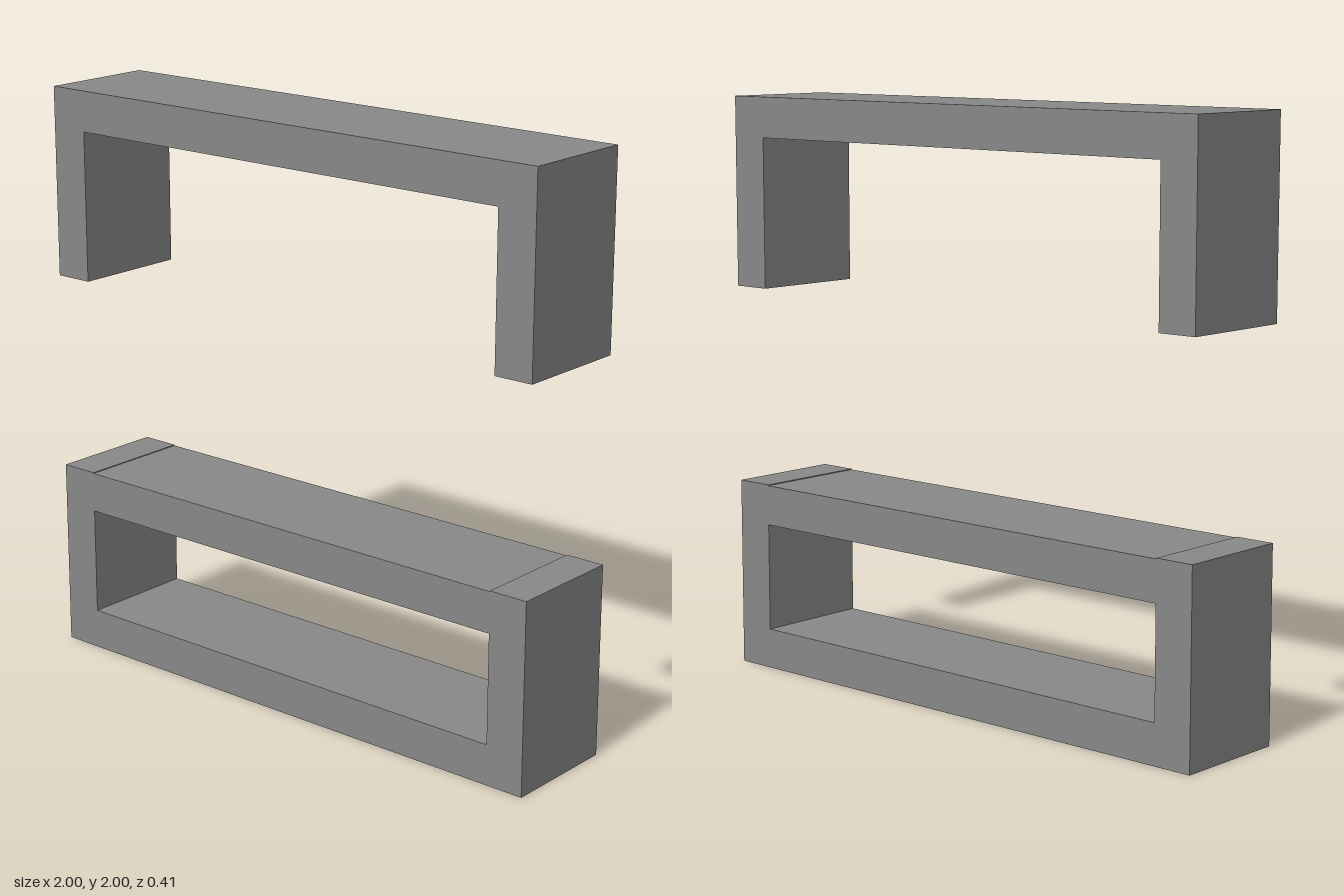
import * as THREE from 'three';

const DEPTH = 0.41; // shared z thickness
const WALL = 0.138; // width of posts and beams

export function createModel() {
  const model = new THREE.Group();
  const material = new THREE.MeshStandardMaterial({ color: 0x888888, flatShading: true });

  // Box spanning x0..x1 and y0..y1, centred in depth
  function bar(parent, name, x0, x1, y0, y1) {
    const mesh = new THREE.Mesh(new THREE.BoxGeometry(x1 - x0, y1 - y0, DEPTH), material);
    mesh.name = name;
    mesh.position.set((x0 + x1) / 2, (y0 + y1) / 2, 0);
    parent.add(mesh);
  }

  // Pair of posts at the two ends
  function posts(parent, y0, y1) {
    bar(parent, 'leftPost', 1 - WALL, 1, y0, y1);
    bar(parent, 'rightPost', -1, -1 + WALL, y0, y1);
  }

  const inner = 1 - WALL;

  // Closed lower frame; its posts rise slightly above the top beam
  const lowerFrame = new THREE.Group();
  lowerFrame.name = 'lowerFrame';
  posts(lowerFrame, 0, 0.656);
  bar(lowerFrame, 'bottomBeam', -inner, inner, 0, 0.139);
  bar(lowerFrame, 'topBeam', -inner, inner, 0.514, 0.653);

  // Open upper frame: a beam with two hanging posts
  const upperFrame = new THREE.Group();
  upperFrame.name = 'upperFrame';
  posts(upperFrame, 1.344, 2);
  bar(upperFrame, 'topBeam', -inner, inner, 1.861, 2);

  model.add(lowerFrame, upperFrame);
  return model;
}
